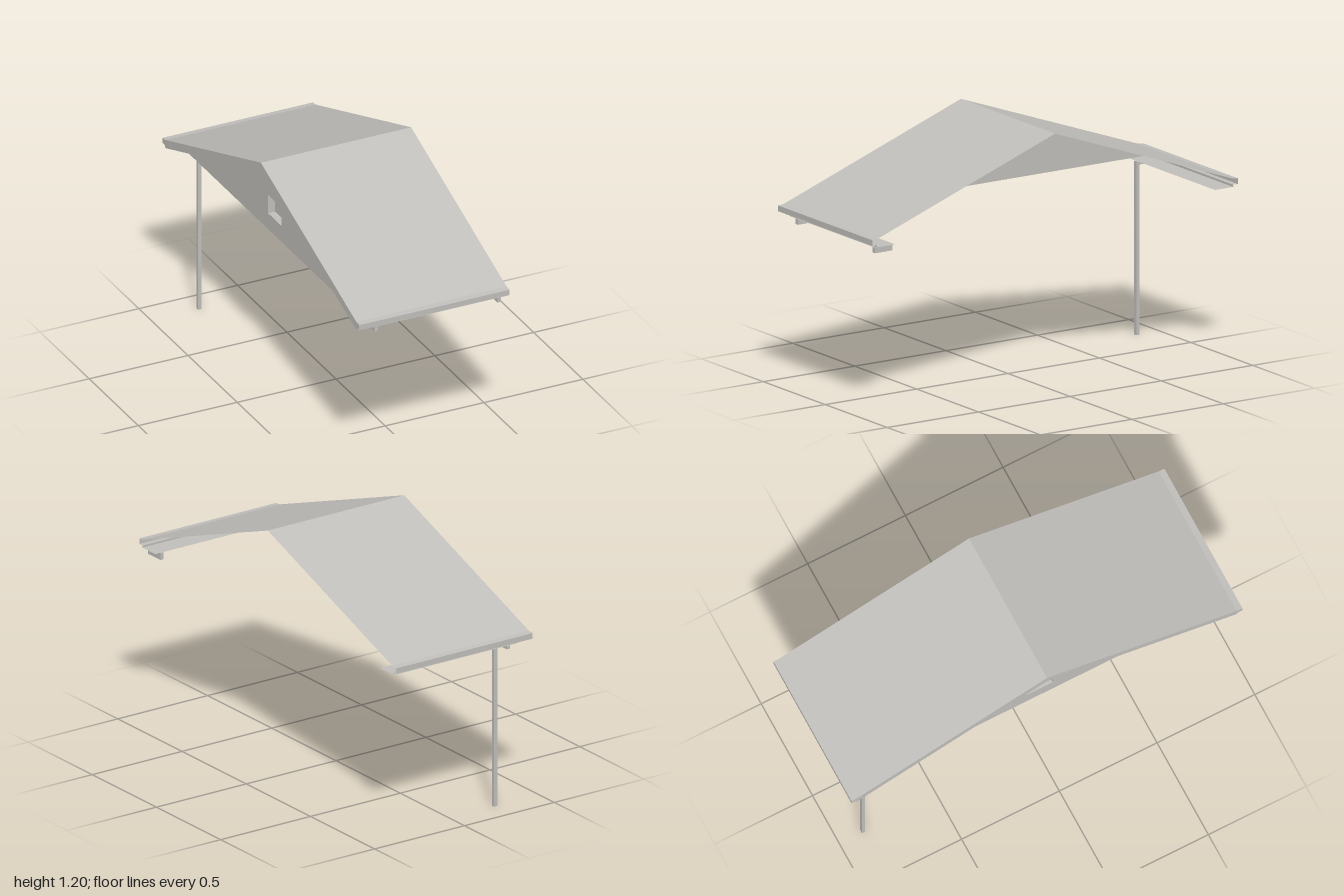
import * as THREE from 'three';

export function createModel() {
  const model = new THREE.Group();
  const grey = new THREE.MeshStandardMaterial({ color: 0xc0beba, side: THREE.DoubleSide });
  grey.name = 'warmGrey';

  const X0 = -0.38, X1 = 0.38, WALL = -0.31;   // roof ends and gable wall plane

  const add = (name, geometry) => {
    const mesh = new THREE.Mesh(geometry, grey);
    mesh.name = name;
    model.add(mesh);
    return mesh;
  };

  // Box given by its extents
  const box = (name, x0, x1, y0, y1, z0, z1) =>
    add(name, new THREE.BoxGeometry(x1 - x0, y1 - y0, z1 - z0)
      .translate((x0 + x1) / 2, (y0 + y1) / 2, (z0 + z1) / 2));

  // Open sheet: a (z, y) profile swept along x, every strip flat
  const sheet = (name, profile, x0, x1) => {
    const p = [];
    for (let i = 0; i < profile.length - 1; i++) {
      const [za, ya] = profile[i], [zb, yb] = profile[i + 1];
      p.push(x0, ya, za, x0, yb, zb, x1, yb, zb, x0, ya, za, x1, yb, zb, x1, ya, za);
    }
    const g = new THREE.BufferGeometry();
    g.setAttribute('position', new THREE.Float32BufferAttribute(p, 3));
    g.computeVertexNormals();
    return add(name, g);
  };

  // Shape drawn in (z, y), symmetric about z = 0
  const toShape = pts => new THREE.Shape(pts.map(([z, y]) => new THREE.Vector2(z, y)));
  const mirror = pts => pts.map(([z, y]) => [-z, y]).reverse();

  // Roof skin with boxed eave edges
  const eave = [[0.97, 0.853], [1, 0.85], [1, 0.823], [0.975, 0.823], [0.975, 0.813]];
  sheet('roofSkin', [...mirror(eave), [0, 1.204], ...eave], X0, X1);

  // Soffits under both eaves
  for (const s of [1, -1]) {
    const pts = [[0.985, 0.813], [0.875, 0.813]].map(([z, y]) => [z * s, y]);
    sheet('soffit', s > 0 ? pts : pts.reverse(), WALL, X1);
  }

  // Thick overhang at the gable end
  const rakeHalf = [...eave, [0.965, 0.813]];
  const rake = toShape([[0, 1.204], ...rakeHalf, [0, 1.162], ...mirror(rakeHalf)]);
  add('gableOverhang', new THREE.ExtrudeGeometry(rake, { depth: WALL - X0, bevelEnabled: false })
    .rotateY(-Math.PI / 2).translate(WALL, 0, 0));

  // Gable wall with window opening
  const W = 0.067, Y0 = 0.895, Y1 = 0.988;
  const wall = toShape([[-0.965, 0.813], [0.965, 0.813], [0, 1.162]]);
  wall.holes.push(toShape([[-W, Y0], [-W, Y1], [W, Y1], [W, Y0]]));
  add('gableWall', new THREE.ShapeGeometry(wall).rotateY(-Math.PI / 2).translate(WALL, 0, 0));

  // Window niche: box left open towards the outside
  const niche = box('windowNiche', WALL, WALL + 0.035, Y0, Y1, -W, W).geometry;
  niche.setIndex(Array.from(niche.index.array).filter((_, i) => i < 6 || i > 11));
  niche.clearGroups();

  // Front beam ends
  for (const x of [-0.277, 0.345]) box('beamEnd', x - 0.009, x + 0.009, 0.779, 0.812, 0.873, 0.968);

  // Rear downpipe and its arm
  box('downpipe', -0.265, -0.247, 0, 0.812, -0.886, -0.87);
  box('downpipeArm', -0.265, -0.247, 0.796, 0.812, -0.985, -0.886);

  return model;
}
